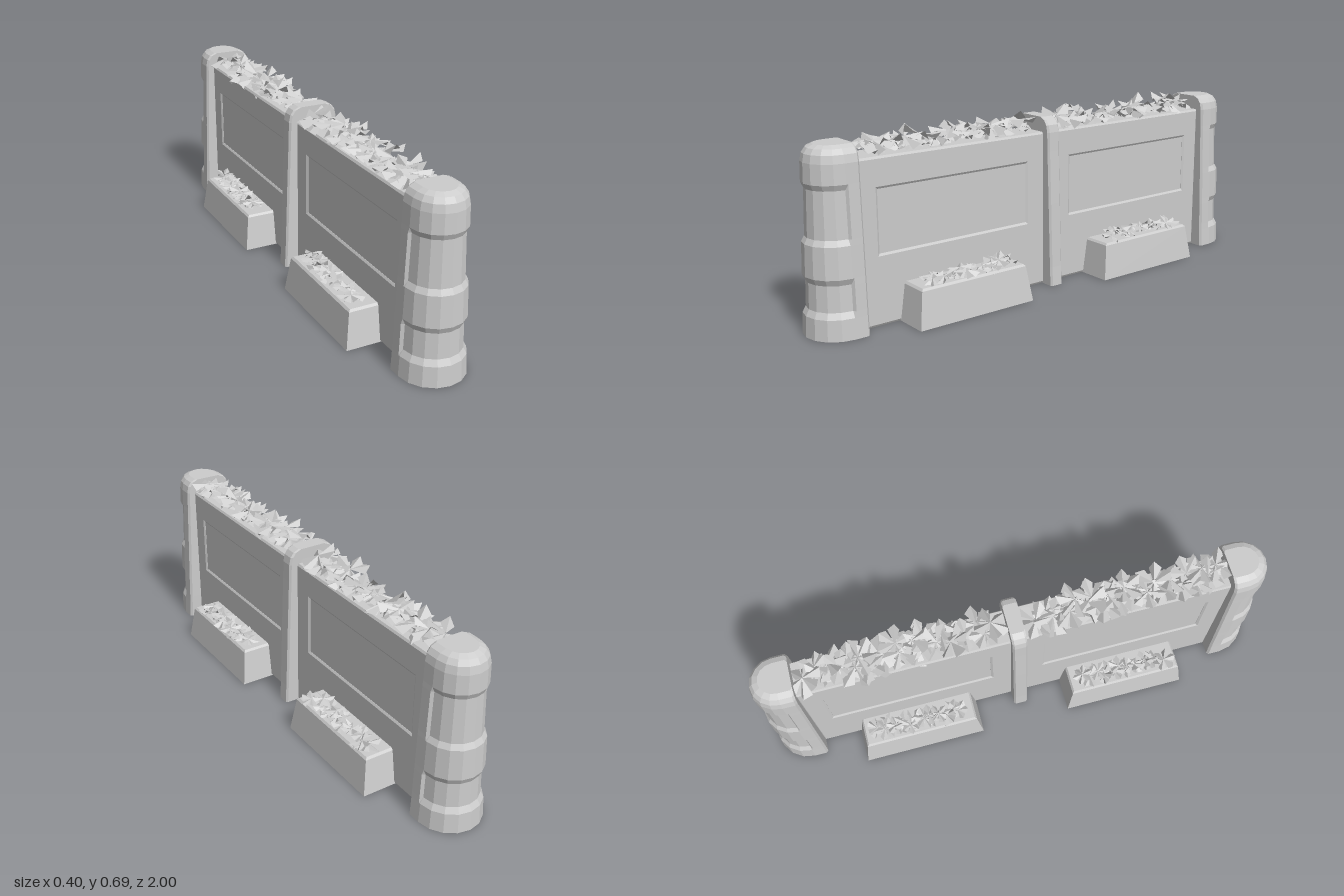
import * as THREE from 'three';

// Small seeded random generator for the foliage
function makeRandom(seed) {
  let s = seed;
  return (a = 0, b = 1) => {
    s = (s * 16807) % 2147483647;
    return a + (b - a) * (s / 2147483647);
  };
}

// Skin between stacked rings (counter-clockwise from above), capped on top, open below
function loft(rings) {
  const pos = [];
  const tri = (...pts) => pts.forEach((p) => pos.push(...p));
  for (let k = 0; k < rings.length - 1; k++) {
    const a = rings[k], b = rings[k + 1], n = a.length;
    for (let i = 0; i < n; i++) {
      const j = (i + 1) % n;
      tri(a[i], a[j], b[j]);
      tri(a[i], b[j], b[i]);
    }
  }
  const top = rings[rings.length - 1];
  const mid = [0, 1, 2].map((c) => top.reduce((t, p) => t + p[c], 0) / top.length);
  top.forEach((p, i) => tri(p, top[(i + 1) % top.length], mid));
  const g = new THREE.BufferGeometry();
  g.setAttribute('position', new THREE.Float32BufferAttribute(pos, 3));
  g.computeVertexNormals();
  return g;
}

// Pillar profile: height, half width of the rim, depth of the recess in the round face
const PROFILE = [
  [0, 0.122, 0], [0.075, 0.118, 0], [0.097, 0.117, 0.011], [0.19, 0.114, 0.011], [0.212, 0.113, 0],
  [0.325, 0.109, 0], [0.345, 0.108, 0.01], [0.51, 0.102, 0.01], [0.53, 0.101, 0], [0.6, 0.099, 0],
  [0.628, 0.093, 0], [0.646, 0.08, 0], [0.656, 0.058, 0],
];

function pillarRing([y, h, d]) {
  const ring = [[-h + 0.008, y, 0.82], [-h, y, 0.828], [-h, y, 0.868]];
  const r = h - d, n = 8;
  for (let i = 0; i <= n; i++) {
    const t = (i / n) * Math.PI;
    ring.push([-r * Math.cos(t), y, 0.875 + (r + 0.003) * Math.sin(t)]);
  }
  ring.push([h, y, 0.868], [h, y, 0.828], [h - 0.008, y, 0.82]);
  return ring;
}

function postRing([y, h]) {
  const z = 0.028, c = 0.007;
  return [[h, y, z - c], [h, y, c - z], [h - c, y, -z], [c - h, y, -z],
    [-h, y, c - z], [-h, y, z - c], [c - h, y, z], [h - c, y, z]];
}

function boxRing(y, x0, x1, z0, z1) {
  return [[x1, y, z1], [x1, y, z0], [x0, y, z0], [x0, y, z1]];
}

// Wall face with a shallow bevelled panel in each half
function wallFace() {
  const rect = (P, z0, z1, y0, y1) => {
    const p = new P();
    p.moveTo(z0, y0); p.lineTo(z1, y0); p.lineTo(z1, y1); p.lineTo(z0, y1); p.closePath();
    return p;
  };
  const s = rect(THREE.Shape, -0.825, 0.825, 0, 0.6);
  for (const k of [-1, 1]) {
    s.holes.push(rect(THREE.Path, k * 0.425 - 0.317, k * 0.425 + 0.317, 0.26, 0.488));
  }
  return new THREE.ExtrudeGeometry(s, {
    depth: 0.001, bevelThickness: 0.005, bevelSize: 0.008, bevelOffset: -0.008, bevelSegments: 1,
  }).rotateY(Math.PI / 2);
}

// Clumps of folded leaves scattered over a rectangle
function foliage(o, seed) {
  const rnd = makeRandom(seed), pos = [];
  for (let k = 0; k < o.count; k++) {
    const f = (k + rnd(0.1, 0.9)) / o.count;
    const across = k % 2 ? rnd(0.5, 1) : rnd(0, 0.5);
    const c = new THREE.Vector3(o.x0 + (o.x1 - o.x0) * across, rnd(o.y0, o.y1), o.z0 + (o.z1 - o.z0) * f);
    const size = rnd(0.8, 1.1) * o.size;
    const lean = new THREE.Euler(rnd(-0.45, 0.45), rnd(0, 6.28), rnd(-0.45, 0.45));
    const at = (r, t, y) => new THREE.Vector3(r * Math.cos(t), y, r * Math.sin(t)).applyEuler(lean).add(c);
    const leaves = 6;
    for (let i = 0; i < leaves; i++) {
      const a = (i / leaves) * Math.PI * 2 + rnd(-0.12, 0.12);
      const rise = rnd(-0.3, 0.25) * size;
      const root = at(0, a, 0), tip = at(size, a, rise);
      const l = at(size * 0.78, a - 0.42, rise - 0.25 * size), r = at(size * 0.78, a + 0.42, rise - 0.25 * size);
      for (const p of [root, tip, l, root, r, tip]) pos.push(p.x, p.y, p.z);
    }
  }
  const g = new THREE.BufferGeometry();
  g.setAttribute('position', new THREE.Float32BufferAttribute(pos, 3));
  g.computeVertexNormals();
  return g;
}

export function createModel() {
  const model = new THREE.Group();
  model.name = 'planterWall';
  // One grey throughout; shells are open below, leaves are thin
  const stone = new THREE.MeshStandardMaterial({ color: 0xcccccc, flatShading: true, side: THREE.DoubleSide });
  stone.name = 'pale grey';

  const body = new THREE.Group();
  body.name = 'body';
  body.position.x = -0.004;
  model.add(body);
  const add = (name, geometry) => {
    const m = new THREE.Mesh(geometry, stone);
    m.name = name;
    body.add(m);
    return m;
  };

  // Wall core and its panelled faces
  add('wallCore', loft([boxRing(0, -0.061, 0.061, -0.825, 0.825), boxRing(0.6, -0.061, 0.061, -0.825, 0.825)]));
  const face = wallFace();
  add('wallFaceLeft', face).position.x = 0.061;
  const other = add('wallFaceRight', face);
  other.position.x = -0.061;
  other.rotation.y = Math.PI;

  // Round end pillars and the slim centre post
  const pillar = loft(PROFILE.map(pillarRing));
  add('frontPillar', pillar);
  add('backPillar', pillar).rotation.y = Math.PI;
  add('centrePost', loft(PROFILE.filter((p) => p[2] === 0).map(postRing)));

  // Four tapered planter boxes with their leaves
  let seed = 4211;
  for (const end of [1, -1]) {
    const z0 = Math.min(end * 0.181, end * 0.67), z1 = Math.max(end * 0.181, end * 0.67);
    for (const side of [1, -1]) {
      const ring = (y, out, inset) => {
        const x = [side * 0.061, side * out].sort((a, b) => a - b);
        return boxRing(y, x[0], x[1], z0 + inset, z1 - inset);
      };
      add('planter', loft([ring(0, 0.199, 0), ring(0.134, 0.181, 0.02), ring(0.142, 0.174, 0.027)]));
      const soil = add('planterSoil', new THREE.BoxGeometry(0.07, 0.008, 0.36));
      soil.position.set(side * 0.125, 0.13, end * 0.4275);
      add('planterLeaves', foliage({
        count: 14, size: 0.046, x0: side * 0.115 + 0.004, x1: side * 0.15 + 0.004,
        y0: 0.152, y1: 0.172, z0: z0 + 0.07, z1: z1 - 0.07,
      }, seed += 3701));
    }
    // Leaves along the top of the wall
    const w0 = Math.min(end * 0.07, end * 0.79), w1 = Math.max(end * 0.07, end * 0.79);
    add('wallTopLeaves', foliage({
      count: 24, size: 0.076, x0: -0.026, x1: 0.026, y0: 0.622, y1: 0.645, z0: w0, z1: w1,
    }, seed += 5303));
  }
  return model;
}
